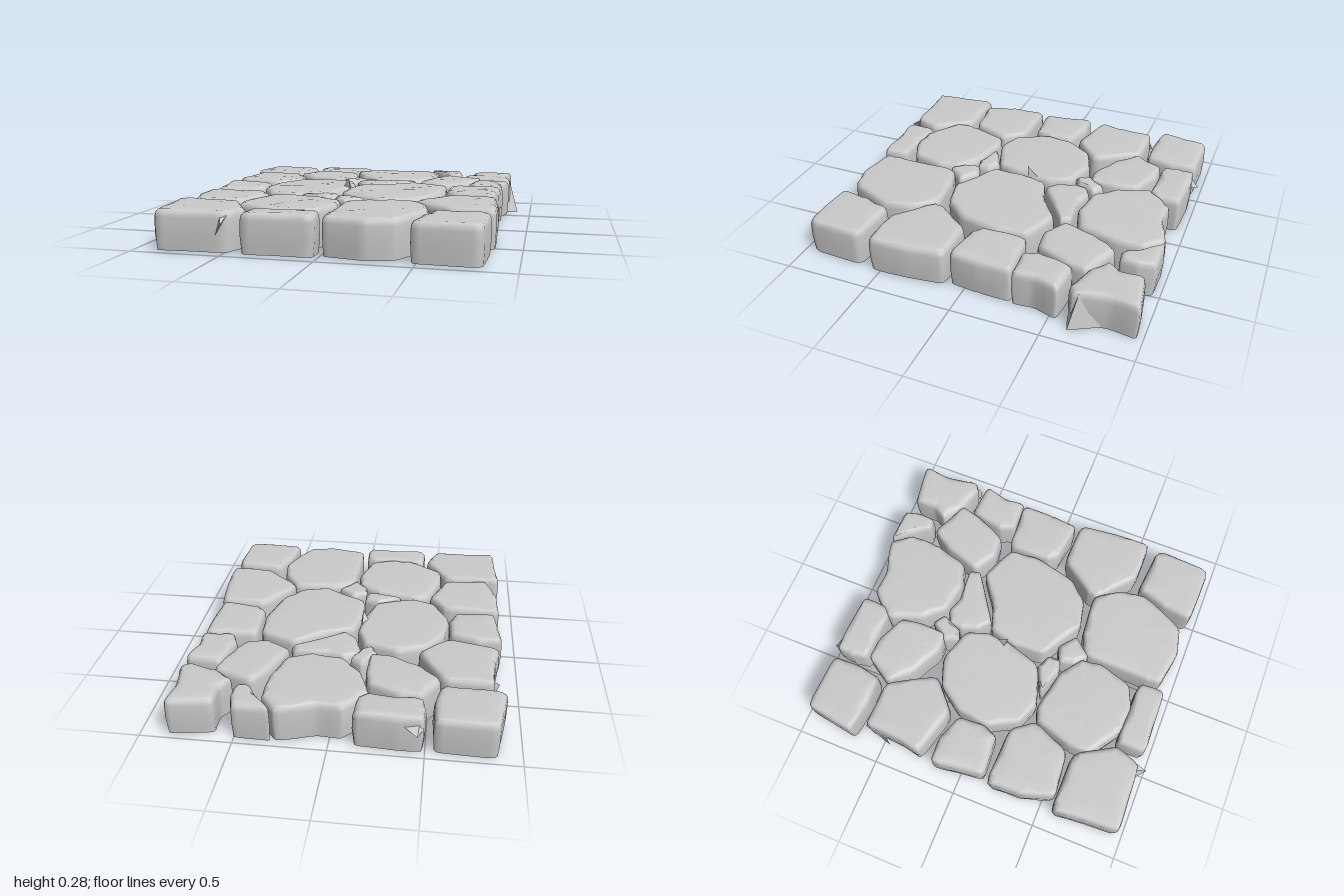
import * as THREE from 'three';

const material = new THREE.MeshStandardMaterial({ color: 0xcccccc, side: THREE.DoubleSide });

// Seeded noise in -1..1
let seed = 7;
const noise = () => {
  seed = (seed * 16807) % 2147483647;
  return (seed / 2147483647) * 2 - 1;
};

// Cut each corner of a flat x,z outline so that it is softly rounded
function roundOutline(flat) {
  const pts = [];
  for (let i = 0; i < flat.length; i += 2) pts.push(new THREE.Vector2(flat[i], flat[i + 1]));
  const out = [];
  pts.forEach((p, i) => {
    const prev = pts[(i + pts.length - 1) % pts.length];
    const next = pts[(i + 1) % pts.length];
    const a = p.clone().lerp(prev, 0.14), b = p.clone().lerp(next, 0.14);
    const mid = a.clone().add(b).multiplyScalar(0.25).addScaledVector(p, 0.5);
    out.push(a, mid, b, p.clone().lerp(next, 0.5));
  });
  return out;
}

// [height, inset] of each ring of a stone, from the open base up over the worn edge
const rings = [[0.005, 0.008], [0.1, 0], [0.18, 0.002], [0.203, 0.007], [0.217, 0.02], [0.221, 0.04]];

// Hollow stone: rings of its outline closed by a gently uneven top
function stone(name, flat) {
  const outline = roundOutline(flat);
  const n = outline.length;
  const centre = outline.reduce((s, p) => s.add(p), new THREE.Vector2()).divideScalar(n);
  const size = Math.min(...outline.map((p) => p.distanceTo(centre)));
  const tiltX = noise() * 0.012, tiltZ = noise() * 0.012, lift = noise() * 0.003;
  const wear = outline.map(() => 1 + noise() * 0.35);
  const pos = [], index = [];
  const add = (x, y, z) => pos.push(x, y + (y > 0.15 ? lift + tiltX * (x - centre.x) + tiltZ * (z - centre.y) : 0), z);

  rings.forEach(([y, inset], r) => {
    outline.forEach((p, i) => {
      const d = Math.min(inset * wear[i], size * 0.5);
      const q = p.clone().addScaledVector(centre.clone().sub(p).normalize(), d);
      add(q.x, y, q.y);
      if (r === 0) return;
      const a = (r - 1) * n + i, b = (r - 1) * n + (i + 1) % n;
      index.push(a, a + n, b, b, a + n, b + n);
    });
  });
  // Top: one inner ring and a middle point
  const last = (rings.length - 1) * n;
  outline.forEach((p) => {
    const q = p.clone().lerp(centre, 0.5);
    add(q.x, 0.222 + noise() * 0.001, q.y);
  });
  add(centre.x, 0.222, centre.y);
  for (let i = 0; i < n; i++) {
    const j = (i + 1) % n;
    index.push(last + i, last + n + i, last + j, last + j, last + n + i, last + n + j);
    index.push(last + n + i, last + 2 * n, last + n + j);
  }
  const g = new THREE.BufferGeometry();
  g.setAttribute('position', new THREE.Float32BufferAttribute(pos, 3));
  g.setIndex(index);
  g.computeVertexNormals();
  const mesh = new THREE.Mesh(g, material);
  mesh.name = name;
  return mesh;
}

// Thin broken splinter: a tetrahedron
function shard(...p) {
  const g = new THREE.BufferGeometry();
  const faces = [0, 1, 2, 0, 2, 3, 0, 3, 1, 1, 3, 2];
  g.setAttribute('position', new THREE.Float32BufferAttribute(faces.flatMap((k) => p[k]), 3));
  g.computeVertexNormals();
  const mesh = new THREE.Mesh(g, material);
  mesh.name = 'shard';
  return mesh;
}

export function createModel() {
  const group = new THREE.Group();
  group.name = 'pavingStones';

  // Back row
  group.add(
    stone('backLeftStone', [-0.87, -0.97, -0.54, -0.96, -0.53, -0.8, -0.56, -0.65, -0.73, -0.64, -0.92, -0.67, -0.9, -0.81]),
    stone('backStone', [-0.49, -0.96, -0.36, -0.97, -0.12, -0.95, -0.13, -0.8, -0.18, -0.76, -0.48, -0.77, -0.5, -0.87]),
    stone('largeBackStone', [-0.2, -0.76, -0.07, -0.91, 0.06, -0.9, 0.28, -0.97, 0.37, -0.85, 0.37, -0.7, 0.31, -0.47, 0.16, -0.42, -0.02, -0.45, -0.13, -0.57]),
    stone('smallBackStone', [0.29, -0.97, 0.5, -0.97, 0.53, -0.87, 0.52, -0.77, 0.45, -0.76, 0.38, -0.86]),
    stone('backRightStone', [0.6, -0.94, 0.86, -0.98, 0.84, -0.82, 0.87, -0.62, 0.82, -0.59, 0.65, -0.64, 0.55, -0.72, 0.6, -0.81]),
  );

  // Second row
  group.add(
    stone('sideStone', [-0.85, -0.61, -0.57, -0.6, -0.42, -0.33, -0.6, -0.17, -0.89, -0.25, -0.86, -0.4]),
    stone('innerStone', [-0.57, -0.6, -0.47, -0.76, -0.35, -0.76, -0.17, -0.68, -0.15, -0.55, -0.16, -0.39, -0.27, -0.38, -0.47, -0.48]),
    stone('fillerStone', [-0.21, -0.39, -0.12, -0.5, -0.05, -0.45, -0.1, -0.33, -0.17, -0.3]),
    stone('wedgeStone', [-0.09, -0.4, -0.02, -0.44, 0.08, -0.41, 0.28, -0.42, 0.3, -0.36, 0.01, -0.16, -0.07, -0.23, -0.1, -0.32]),
    stone('innerStone', [0.29, -0.39, 0.37, -0.62, 0.45, -0.74, 0.68, -0.64, 0.65, -0.51, 0.56, -0.32, 0.43, -0.31]),
    stone('sideStone', [0.66, -0.57, 0.87, -0.55, 0.83, -0.4, 0.84, -0.28, 0.65, -0.27, 0.61, -0.36]),
  );

  // Middle rows
  group.add(
    stone('sideStone', [0.52, -0.26, 0.83, -0.28, 0.83, -0.08, 0.81, 0.09, 0.57, 0.06, 0.52, 0]),
    stone('sideStone', [-0.91, -0.17, -0.76, -0.18, -0.6, -0.12, -0.59, 0.04, -0.63, 0.13, -0.87, 0.15]),
    stone('largeCentreStone', [-0.6, 0.05, -0.57, -0.15, -0.47, -0.29, -0.31, -0.35, -0.11, -0.29, -0.06, -0.16, -0.07, 0, -0.14, 0.2, -0.37, 0.28, -0.51, 0.22]),
    stone('largeCentreStone', [-0.08, 0, -0.04, -0.15, 0.11, -0.2, 0.29, -0.33, 0.5, -0.24, 0.52, -0.05, 0.46, 0.19, 0.35, 0.31, 0.18, 0.35, -0.07, 0.2]),
    stone('fillerStone', [-0.3, 0.27, -0.15, 0.19, -0.06, 0.23, -0.06, 0.31, -0.12, 0.33]),
    stone('fillerStone', [-0.08, 0.3, 0.02, 0.26, 0.12, 0.35, 0.02, 0.46, -0.06, 0.4]),
    stone('sideStone', [-0.9, 0.17, -0.56, 0.18, -0.46, 0.31, -0.56, 0.54, -0.83, 0.57, -0.89, 0.39]),
    stone('sideStone', [0.56, 0.1, 0.83, 0.11, 0.86, 0.34, 0.86, 0.56, 0.61, 0.56, 0.4, 0.37, 0.41, 0.31]),
  );

  // Front rows
  group.add(
    stone('largeFrontStone', [-0.46, 0.31, -0.38, 0.28, -0.13, 0.33, -0.01, 0.42, 0.01, 0.55, -0.05, 0.74, -0.18, 0.8, -0.34, 0.79, -0.53, 0.66, -0.53, 0.53]),
    stone('largeFrontStone', [0.02, 0.42, 0.16, 0.37, 0.4, 0.35, 0.5, 0.5, 0.52, 0.66, 0.4, 0.91, 0.24, 0.95, 0.02, 0.91, 0.01, 0.83]),
    stone('frontRightStone', [0.55, 0.59, 0.85, 0.62, 0.83, 0.96, 0.47, 0.95, 0.49, 0.78]),
    stone('frontLeftStone', [-0.91, 0.57, -0.56, 0.57, -0.42, 0.8, -0.48, 0.95, -0.88, 0.97, -0.89, 0.77]),
    stone('frontStone', [-0.41, 0.78, -0.02, 0.79, -0.01, 0.95, -0.41, 0.96]),
  );

  // Broken splinters
  group.add(
    shard([-0.12, 0.21, -0.04], [-0.07, 0.21, -0.03], [-0.08, 0.21, -0.09], [-0.08, 0.28, -0.02]),
    shard([0.82, 0, -0.59], [0.92, 0.005, -0.62], [0.84, 0.01, -0.78], [0.86, 0.21, -0.66]),
    shard([-0.49, 0.15, -0.95], [-0.46, 0.13, -1], [-0.36, 0.18, -0.95], [-0.47, 0.2, -0.94]),
    shard([-0.55, 0.08, 0.94], [-0.49, 0.16, 1], [-0.48, 0.2, 0.93], [-0.52, 0.2, 0.93]),
    shard([-0.89, 0.1, -0.44], [-0.84, 0.12, -0.62], [-0.84, 0.21, -0.58], [-0.85, 0.02, -0.5]),
  );
  return group;
}
